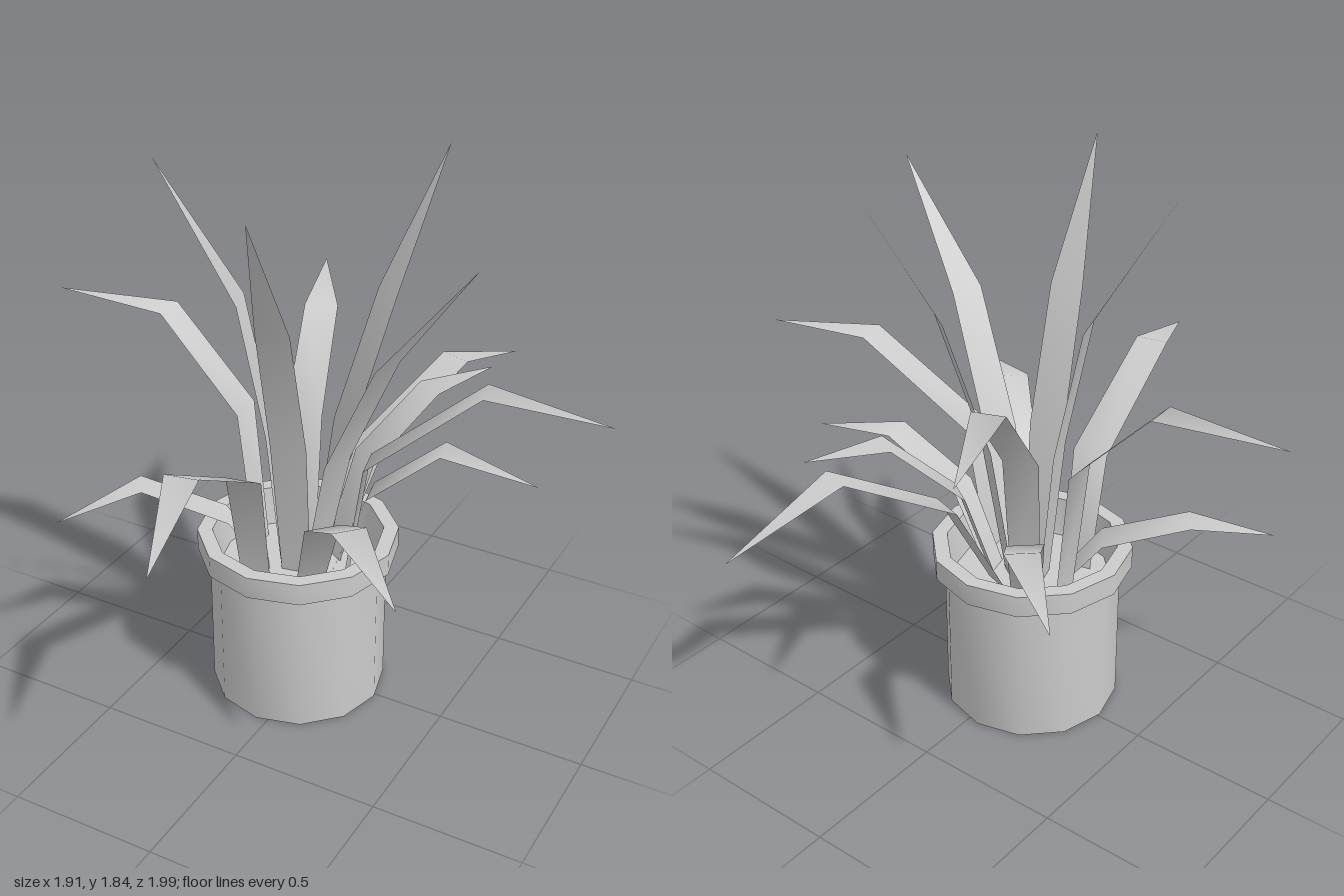
import * as THREE from 'three';
import { toCreasedNormals } from 'three/addons/utils/BufferGeometryUtils.js';

const SOIL_Y = 0.45;
const HALF_WIDTHS = [0.05, 0.06, 0.055, 0.001];

// Kinds of leaf. out and up say how far the kink lies from root to bend.
// Each leaf is its bend, its tip and, where it grows off-line, its root [x, z].
const KINDS = {
  tallLeaf: {
    out: 0.35, up: 0.53,
    leaves: [
      [[-0.215, 1.4, 0.06], [-0.46, 1.84, 0.14]],
      [[0.01, 1.41, 0.25], [0.065, 1.84, 0.475]],
      [[0.17, 1.41, -0.19], [0.265, 1.84, -0.41]],
      [[0.34, 1.34, 0.15], [0.63, 1.72, 0.2]],
    ],
  },
  middleLeaf: {
    out: 0.16, up: 0.63,
    leaves: [
      [[-0.55, 1.26, -0.04], [-0.955, 1.26, 0], [-0.21, -0.04]],
      [[0.56, 1.21, -0.08], [0.95, 1.16, -0.14], [0.16, 0.06]],
      [[-0.14, 1.245, -0.33], [-0.32, 1.235, -0.7], [-0.07, -0.06]],
      [[-0.075, 1.1, 0.63], [0.04, 1.0, 0.985], [-0.13, 0.14]],
    ],
  },
  lowLeaf: {
    out: 0.33, up: 0.63,
    leaves: [
      [[0.23, 1.02, -0.61], [0.3, 0.89, -1.0]],
      [[0.25, 1.02, -0.36], [0.37, 1.02, -0.6]],
      [[0.4, 0.93, -0.15], [0.71, 0.86, -0.19]],
      [[0.35, 0.92, 0.4], [0.6, 0.84, 0.595]],
      [[-0.36, 0.91, -0.45], [-0.61, 0.845, -0.645]],
      [[-0.51, 0.74, 0.23], [-0.7, 0.65, 0.445]],
    ],
  },
};

// By default a leaf grows from a small ring round the pot's middle, towards its bend
function defaultRoot(bend) {
  const heading = Math.atan2(bend[2], bend[0] + 0.03);
  const radius = bend[1] > 1.3 ? 0.06 : 0.11;
  return [-0.03 + radius * Math.cos(heading), radius * Math.sin(heading)];
}

// Flat strip from root over kink and bend to the tip, level across its width
function leafGeometry([bendPoint, tipPoint, root = defaultRoot(bendPoint)], out, up) {
  const base = new THREE.Vector3(root[0], SOIL_Y, root[1]);
  const bend = new THREE.Vector3(...bendPoint);
  const tip = new THREE.Vector3(...tipPoint);
  const kink = base.clone().lerp(bend, out);
  kink.y = THREE.MathUtils.lerp(base.y, bend.y, up);
  const side = new THREE.Vector3(tip.z - base.z, 0, base.x - tip.x).normalize();

  const corners = [];
  const index = [];
  [base, kink, bend, tip].forEach((centre, i) => {
    for (const s of [1, -1]) {
      corners.push(centre.clone().addScaledVector(side, s * HALF_WIDTHS[i]));
    }
    if (i > 0) {
      const a = 2 * i - 2;
      index.push(a, a + 2, a + 1, a + 1, a + 2, a + 3);
    }
  });
  const geometry = new THREE.BufferGeometry().setFromPoints(corners);
  geometry.setIndex(index);
  geometry.computeVertexNormals();
  return geometry;
}

export function createModel() {
  const model = new THREE.Group();
  model.name = 'pottedPlant';
  const material = new THREE.MeshStandardMaterial({ color: 0xcccccc });
  const leafMaterial = new THREE.MeshStandardMaterial({ color: 0xcccccc, side: THREE.DoubleSide });

  // Pot with a raised rim, hollow down to the soil
  const profile = [
    [0, 0], [0.295, 0], [0.295, 0.515], [0.335, 0.515], [0.335, 0.59],
    [0.285, 0.59], [0.265, SOIL_Y],
  ].map(([r, y]) => new THREE.Vector2(r, y));
  const pot = new THREE.Mesh(toCreasedNormals(new THREE.LatheGeometry(profile, 12), 0.9), material);
  pot.name = 'pot';
  pot.position.set(-0.04, 0, 0.01);
  model.add(pot);

  // Soil
  const soil = new THREE.Mesh(new THREE.CircleGeometry(0.27, 12), material);
  soil.name = 'soil';
  soil.rotation.x = -Math.PI / 2;
  soil.position.set(-0.04, SOIL_Y + 0.005, 0.01);
  model.add(soil);

  // Leaves
  for (const [name, { out, up, leaves }] of Object.entries(KINDS)) {
    const group = new THREE.Group();
    group.name = `${name}Group`;
    for (const points of leaves) {
      const leaf = new THREE.Mesh(leafGeometry(points, out, up), leafMaterial);
      leaf.name = name;
      group.add(leaf);
    }
    model.add(group);
  }
  return model;
}
